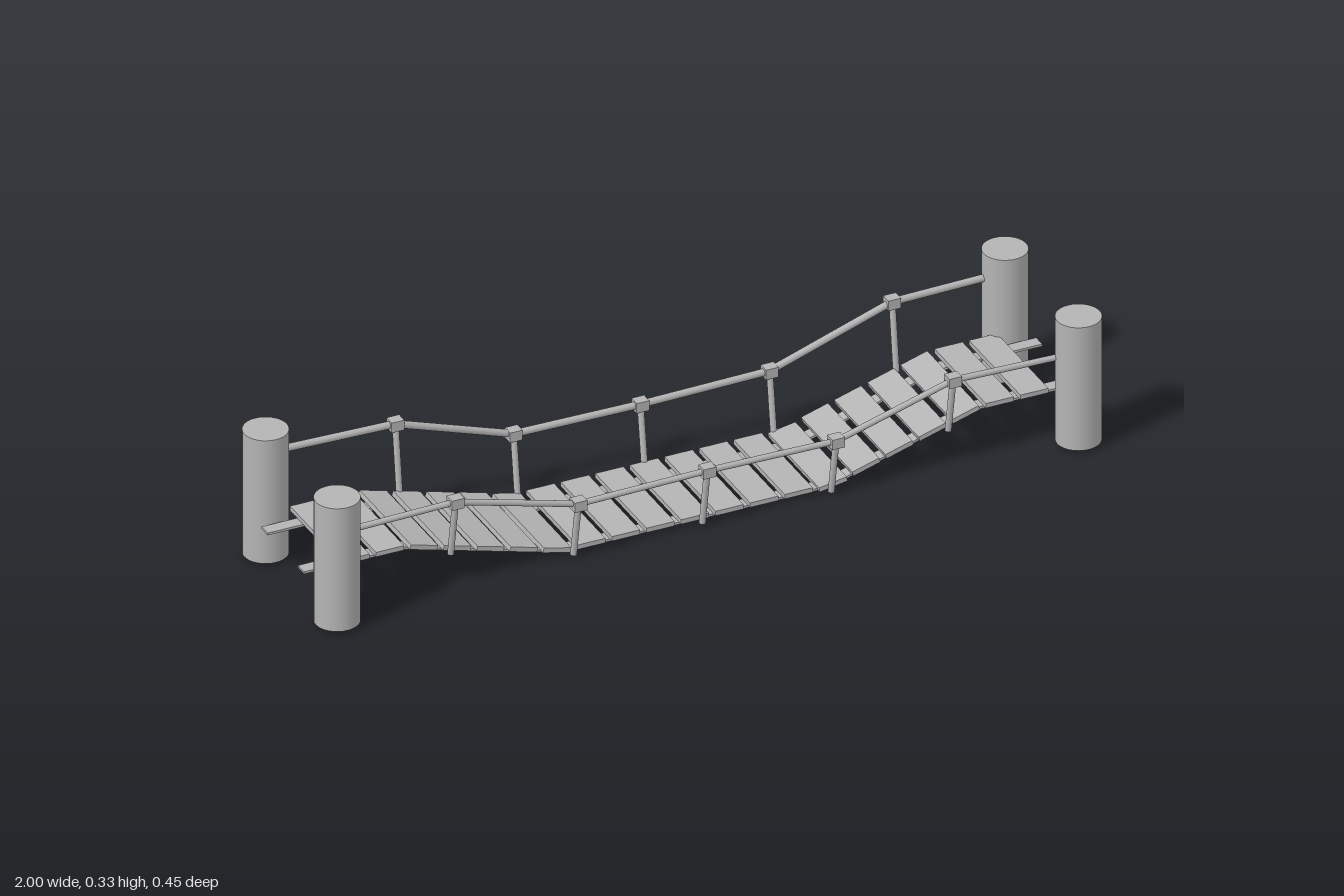
import * as THREE from 'three';

const V = (x, y, z) => new THREE.Vector3(x, y, z);

export function createModel() {
  const group = new THREE.Group();
  const grey = new THREE.MeshStandardMaterial({ color: 0xb4b4b4 });
  grey.name = 'plain grey';

  const add = (name, geometry, x = 0, y = 0, z = 0) => {
    const mesh = new THREE.Mesh(geometry, grey);
    mesh.name = name;
    mesh.position.set(x, y, z);
    group.add(mesh);
    return mesh;
  };

  // round bar between two points
  const bar = (name, a, b, radius) => {
    const dir = b.clone().sub(a);
    const mesh = add(name, new THREE.CylinderGeometry(radius, radius, dir.length(), 12));
    mesh.position.copy(a).add(b).multiplyScalar(0.5);
    mesh.quaternion.setFromUnitVectors(V(0, 1, 0), dir.normalize());
  };

  // anchor posts at the four corners
  for (const [x, z] of [[-0.946, -0.173], [0.925, -0.173], [-0.93, 0.172], [0.946, 0.172]]) {
    add('anchorPost', new THREE.CylinderGeometry(0.054, 0.054, 0.326, 32), x, 0.171, z);
  }

  // sagging line of the deck
  const line = [[-0.985, 0.114], [-0.73, 0.114], [-0.33, 0.003], [0.345, 0.003], [0.72, 0.114], [0.975, 0.114]];

  // two flat stringers under the planks
  const outline = [
    ...line.map(([x, y]) => new THREE.Vector2(x, y - 0.003)),
    ...line.map(([x, y]) => new THREE.Vector2(x, y + 0.003)).reverse(),
  ];
  for (const z of [-0.096, 0.096]) {
    const strip = new THREE.ExtrudeGeometry(new THREE.Shape(outline), { depth: 0.032, bevelEnabled: false });
    add('stringer', strip, 0, 0, z - 0.016);
  }

  // planks spaced evenly along the sagging line
  const path = new THREE.CurvePath();
  for (let i = 1; i < line.length; i++) {
    path.add(new THREE.LineCurve3(V(...line[i - 1], 0), V(...line[i], 0)));
  }
  const length = path.getLength();
  const count = 21, first = 0.125, last = length - 0.117;
  for (let i = 0; i < count; i++) {
    const s = first + (last - first) * i / (count - 1);
    const p = path.getPointAt(s / length);
    // tilt follows the line across the plank's width, so planks at bends turn half-way
    const a = path.getPointAt((s - 0.03) / length);
    const b = path.getPointAt((s + 0.03) / length);
    const plank = add('plank', new THREE.BoxGeometry(0.071, 0.012, 0.272), p.x, p.y + 0.009, -0.013);
    plank.rotation.z = Math.atan2(b.y - a.y, b.x - a.x);
  }

  // height of the deck at x
  const deckY = (x) => {
    const i = line.findIndex((p) => p[0] > x);
    const [x0, y0] = line[i - 1], [x1, y1] = line[i];
    return y0 + (y1 - y0) * (x - x0) / (x1 - x0);
  };

  // handrails: bars, knots and leaning uprights
  const rails = [
    { z: -0.178, foot: -0.15, r: 0.009, pts: [[-0.946, 0.268], [-0.615, 0.26], [-0.316, 0.157], [0.005, 0.153], [0.332, 0.158], [0.642, 0.262], [0.925, 0.267]] },
    { z: 0.157, foot: 0.137, r: 0.0075, pts: [[-0.93, 0.228], [-0.623, 0.234], [-0.312, 0.149], [0.014, 0.154], [0.34, 0.149], [0.636, 0.235], [0.946, 0.227]] },
  ];
  for (const { z, foot, r, pts } of rails) {
    pts.forEach(([x, y], i) => {
      if (i > 0) bar('handrail', V(...pts[i - 1], z), V(x, y, z), r);
      if (i === 0 || i === pts.length - 1) return;
      add('railKnot', new THREE.BoxGeometry(0.032, 0.026, 0.028), x, y, z);
      bar('upright', V(x, y, z), V(x - 0.003, deckY(x) + 0.003, foot), 0.008);
    });
  }

  return group;
}
